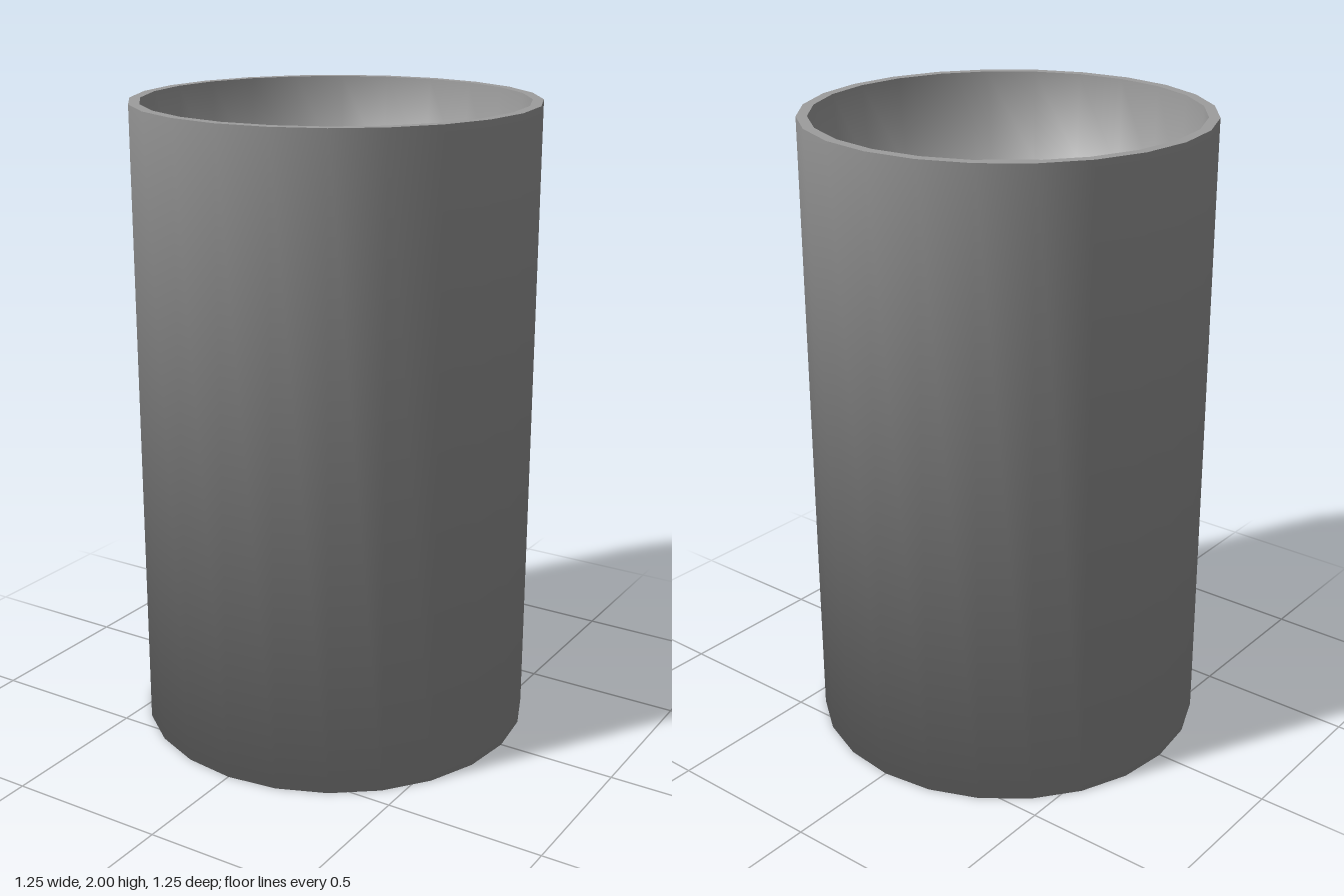
import * as THREE from 'three';

const SIDES = 24, HEIGHT = 2, R = 0.623, RIM = 0.59;
const FLOOR_R = 0.568, FLOOR_Y = 1.71, FLOOR_Z = 0.01;

// Revolves a profile of [radius, height] points
function lathe(name, profile, material) {
  const points = profile.map(([r, y]) => new THREE.Vector2(r, y));
  const mesh = new THREE.Mesh(new THREE.LatheGeometry(points, SIDES), material);
  mesh.name = name;
  return mesh;
}

// Softens the shading of the ring at height y: normals get a vertical share of ny
function tiltNormals(mesh, y, radius, ny) {
  const { position, normal } = mesh.geometry.attributes;
  const flat = Math.sqrt(1 - ny * ny) / radius;
  for (let i = 0; i < position.count; i++) {
    if (Math.abs(position.getY(i) - y) > 0.001) continue;
    normal.setXYZ(i, position.getX(i) * flat, ny, position.getZ(i) * flat);
  }
}

export function createModel() {
  const model = new THREE.Group();
  model.name = 'cup';
  const grey = new THREE.MeshStandardMaterial({ color: 0x9d9d9d });

  // Outer wall and base, shaded smoothly across the bottom edge
  const body = lathe('outerWallAndBase', [[0, 0], [R, 0], [R, HEIGHT]], grey);
  tiltNormals(body, 0, R, -Math.SQRT1_2);
  tiltNormals(body, HEIGHT, R, -0.1);

  // Flat top rim
  const rim = lathe('rim', [[R, HEIGHT], [RIM, HEIGHT]], grey);

  // Tapered inner wall, shaded softly into the floor
  const inner = lathe('innerWall', [[RIM, HEIGHT], [FLOOR_R, FLOOR_Y]], grey);
  tiltNormals(inner, FLOOR_Y, -FLOOR_R, 0.5);

  // The lower ring is shifted slightly to meet the floor
  const p = inner.geometry.attributes.position;
  for (let i = 0; i < p.count; i++) {
    if (p.getY(i) < HEIGHT - 0.1) p.setZ(i, p.getZ(i) + FLOOR_Z);
  }

  // Shallow inner floor
  const floor = lathe('innerFloor', [[FLOOR_R, FLOOR_Y], [0, FLOOR_Y]], grey);
  floor.position.z = FLOOR_Z;

  model.add(body, rim, inner, floor);
  return model;
}
